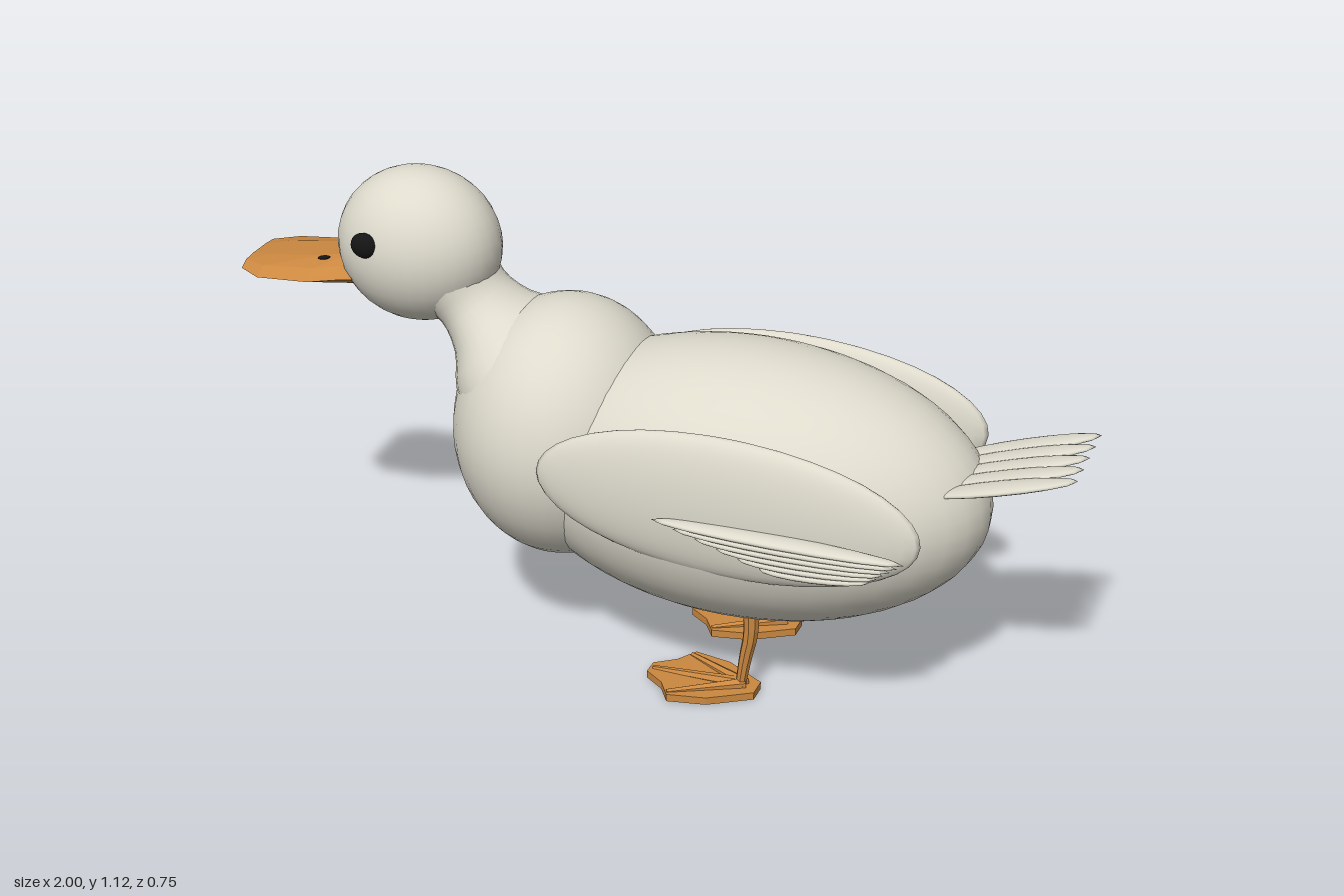
import * as THREE from 'three';

const mat = (name, color, extra = {}) => {
  const m = new THREE.MeshStandardMaterial({ color, ...extra });
  m.name = name;
  return m;
};

export function createModel() {
  const duck = new THREE.Group();
  duck.name = 'duck';
  const white = mat('feather white', 0xdedbcd);
  const orange = mat('bill orange', 0xcb8840, { flatShading: true });
  const black = mat('eye black', 0x151515);

  const add = (name, geometry, material, parent = duck) => {
    const mesh = new THREE.Mesh(geometry, material);
    mesh.name = name;
    parent.add(mesh);
    return mesh;
  };
  // Ellipsoid given by half sizes and centre
  const ellipsoid = (name, material, half, pos, parent, w = 32, h = 20) => {
    const mesh = add(name, new THREE.SphereGeometry(1, w, h).scale(...half), material, parent);
    mesh.position.set(...pos);
    return mesh;
  };
  // Long flat feather whose x axis runs between two points
  const feather = (name, a, b, halfY, halfZ, parent) => {
    const from = new THREE.Vector3(...a), to = new THREE.Vector3(...b);
    const mid = from.clone().add(to).multiplyScalar(0.5);
    const dir = to.clone().sub(from);
    const mesh = ellipsoid(name, white, [dir.length() / 2, halfY, halfZ], mid.toArray(), parent, 16, 10);
    mesh.quaternion.setFromUnitVectors(new THREE.Vector3(1, 0, 0), dir.normalize());
    return mesh;
  };

  // Body, chest and head
  ellipsoid('body', white, [0.57, 0.322, 0.32], [0.22, 0.475, 0], duck, 40, 28);
  ellipsoid('chest', white, [0.262, 0.31, 0.285], [-0.22, 0.535, 0], duck, 36, 24);
  ellipsoid('head', white, [0.195, 0.182, 0.16], [-0.58, 0.933, 0], duck);

  // Neck: waisted profile turned about a slanted axis
  const neckProfile = [[0.17, 0], [0.145, 0.06], [0.108, 0.11], [0.088, 0.17], [0.09, 0.22], [0.11, 0.29], [0.12, 0.34]];
  const neckCurve = new THREE.SplineCurve(neckProfile.map(p => new THREE.Vector2(...p)));
  const neck = add('neck', new THREE.LatheGeometry(neckCurve.getPoints(14), 28).scale(1, 1, 1.25), white);
  neck.position.set(-0.325, 0.675, 0);
  neck.rotation.z = Math.atan2(0.23, 0.26);

  // Bill: rings of [x, half width, bottom, seam, top]
  const billRings = [
    [-0.66, 0.085, 0.835, 0.86, 0.905], [-0.74, 0.105, 0.828, 0.856, 0.896],
    [-0.81, 0.13, 0.824, 0.85, 0.885], [-0.94, 0.128, 0.818, 0.842, 0.868], [-1.0, 0.09, 0.834, 0.842, 0.858]];
  const billPoints = [], billFaces = [], n = 8;
  for (const [x, w, bottom, seam, top] of billRings) {
    for (const [z, y] of [[w, seam], [w * 0.75, (seam + top) / 2 + 0.005], [w * 0.35, top], [-w * 0.35, top],
      [-w * 0.75, (seam + top) / 2 + 0.005], [-w, seam], [-w * 0.5, bottom], [w * 0.5, bottom]]) billPoints.push(x, y, z);
  }
  for (let r = 0; r < billRings.length - 1; r++) {
    for (let i = 0; i < n; i++) {
      const a = r * n + i, b = r * n + (i + 1) % n;
      billFaces.push(a, b, a + n, b, b + n, a + n);
    }
  }
  const tip = (billRings.length - 1) * n;
  for (let i = 1; i < n - 1; i++) billFaces.push(tip, tip + i, tip + i + 1);
  const billGeometry = new THREE.BufferGeometry();
  billGeometry.setAttribute('position', new THREE.Float32BufferAttribute(billPoints, 3));
  billGeometry.setIndex(billFaces);
  billGeometry.computeVertexNormals();
  orange.side = THREE.DoubleSide;
  add('bill', billGeometry, orange);

  // Webbed foot outline, heel towards +x, with y standing for z
  const footShape = new THREE.Shape([[0.305, -0.025], [0.305, 0.025], [0.21, 0.085], [0.12, 0.102],
    [0.09, 0.055], [0.042, 0.02], [0.042, -0.02], [0.09, -0.055], [0.12, -0.102], [0.21, -0.085]]
    .map(p => new THREE.Vector2(...p)));

  for (const side of [1, -1]) {
    const label = side > 0 ? 'left' : 'right';

    // Eye and nostril
    ellipsoid(label + 'Eye', black, [0.032, 0.03, 0.018], [-0.65, 0.97, side * 0.147], duck, 16, 12);
    ellipsoid(label + 'Nostril', black, [0.016, 0.004, 0.01], [-0.8, 0.885, side * 0.058], duck, 12, 8).rotation.z = 0.15;

    // Folded wing with a fan of flight feathers
    const wing = new THREE.Group();
    wing.name = label + 'Wing';
    duck.add(wing);
    ellipsoid('wingCover', white, [0.443, 0.168, 0.046], [0.265, 0.541, side * 0.29], wing).rotation.z = -0.03;
    for (let i = 0; i < 6; i++) {
      feather('wingFeather', [0.115 + 0.05 * i, 0.513 - 0.015 * i, side * 0.343],
        [0.69 - 0.015 * i, 0.512 - 0.011 * i, side * 0.352], 0.012, 0.028, wing);
    }

    // Leg and webbed foot
    const leg = new THREE.Group();
    leg.name = label + 'Leg';
    leg.position.z = side * 0.155;
    duck.add(leg);
    const shin = new THREE.CatmullRomCurve3([[0.285, 0.26], [0.287, 0.16], [0.275, 0.09], [0.265, 0.02]]
      .map(([x, y]) => new THREE.Vector3(x, y, 0)));
    const shinGeometry = new THREE.TubeGeometry(shin, 8, 0.014, 8);
    const p = shinGeometry.attributes.position;
    for (let i = 0; i < p.count; i++) {
      const y = p.getY(i), c = 0.265 + 0.022 * Math.min(1, Math.max(0, (y - 0.02) / 0.14));
      const grow = 0.9 + 2.6 * Math.max(0, y - 0.02);
      p.setX(i, c + (p.getX(i) - c) * grow);
      p.setZ(i, p.getZ(i) * grow);
    }
    shinGeometry.computeVertexNormals();
    add('shin', shinGeometry, orange, leg);
    const web = new THREE.ExtrudeGeometry(footShape, { depth: 0.018, bevelEnabled: false });
    web.rotateX(-Math.PI / 2);
    add('web', web, orange, leg);
    for (const t of [-1, 0, 1]) {
      const from = new THREE.Vector3(0.275, 0.022, 0);
      const to = new THREE.Vector3(t ? 0.115 : 0.05, 0.016, t * 0.088);
      const dir = to.clone().sub(from);
      const toe = add('toe', new THREE.CylinderGeometry(0.007, 0.015, dir.length(), 6), orange, leg);
      toe.position.copy(from).add(to).multiplyScalar(0.5);
      toe.quaternion.setFromUnitVectors(new THREE.Vector3(0, 1, 0), dir.normalize());
    }
  }

  // Tail fan
  const tail = new THREE.Group();
  tail.name = 'tail';
  duck.add(tail);
  for (let i = -2; i <= 2; i++) {
    feather('tailFeather', [0.66, 0.553, i * 0.05], [1.0, 0.657, i * 0.059], 0.011, 0.035, tail);
  }
  return duck;
}
